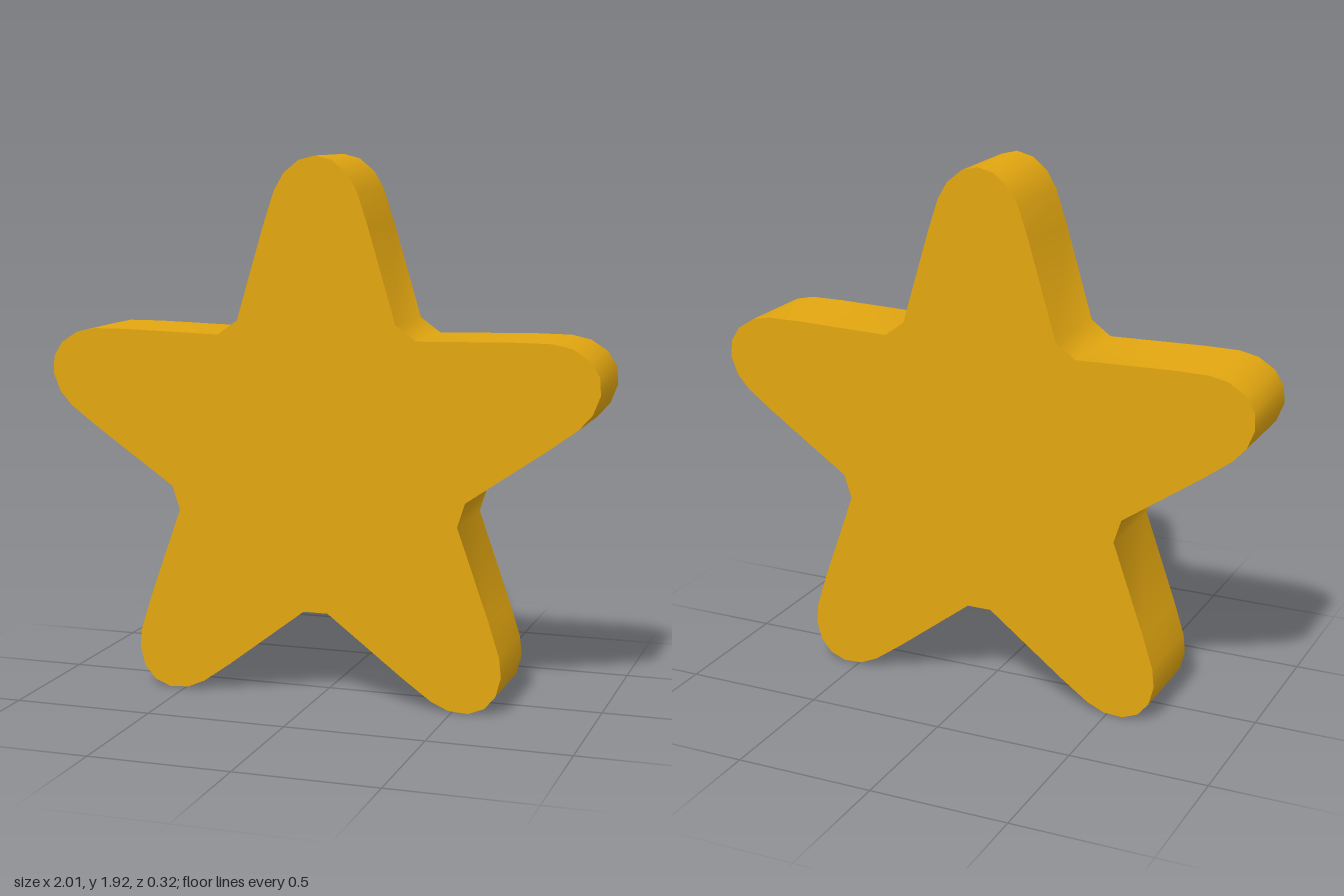
import * as THREE from 'three';
import { toCreasedNormals } from 'three/addons/utils/BufferGeometryUtils.js';

const CENTRE_Y = 0.87;
const DEPTH = 0.32;

// One rounded arm: across, along (measured from the star's centre)
const HALF_ARM = [
  [0.29, 0.475], [0.19, 0.81], [0.15, 0.93], [0.115, 0.99], [0.06, 1.035],
];
const ARM = [
  ...HALF_ARM,
  [0, 1.05],
  ...HALF_ARM.map(([u, v]) => [-u, v]).reverse(),
];

// Repeat the arm five times, counter-clockwise
function starShape() {
  const points = [];
  const origin = new THREE.Vector2();
  for (let i = 0; i < 5; i++) {
    for (const [u, v] of ARM) {
      points.push(new THREE.Vector2(u, v).rotateAround(origin, (i * Math.PI * 2) / 5));
    }
  }
  return new THREE.Shape(points);
}

export function createModel() {
  const group = new THREE.Group();
  group.name = 'star';

  const gold = new THREE.MeshStandardMaterial({ color: 0xe2a610 });
  gold.name = 'gold';

  // Flat faces with a smoothly shaded rim
  const extruded = new THREE.ExtrudeGeometry(starShape(), { depth: DEPTH, bevelEnabled: false });
  extruded.translate(0, CENTRE_Y, -DEPTH / 2);
  const body = new THREE.Mesh(toCreasedNormals(extruded, Math.PI / 3), gold);
  body.name = 'starBody';
  group.add(body);

  return group;
}
